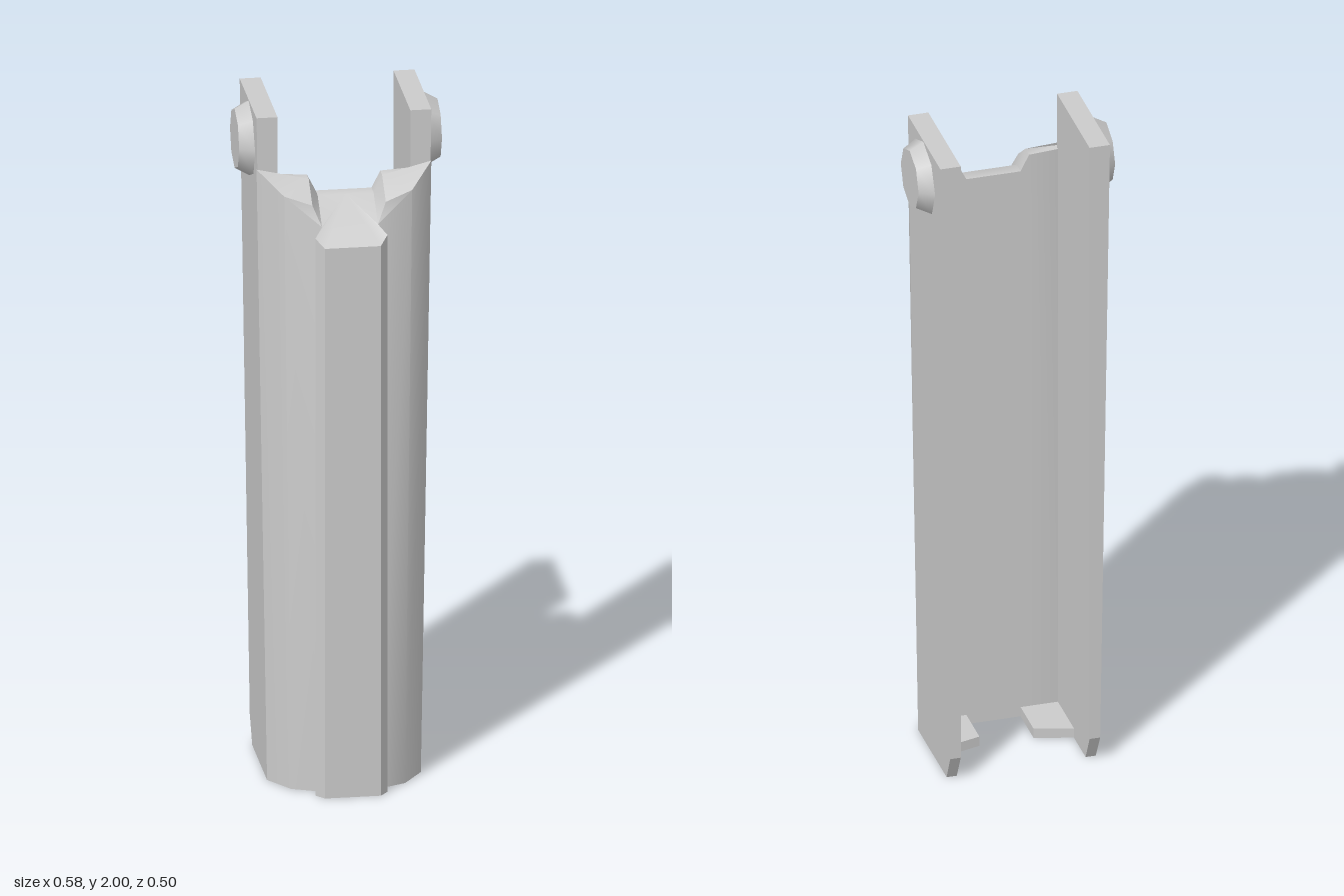
import * as THREE from 'three';
import { toCreasedNormals } from 'three/addons/utils/BufferGeometryUtils.js';

const material = new THREE.MeshStandardMaterial({ color: 0xcccccc });

function addMesh(group, name, geometry) {
  const mesh = new THREE.Mesh(geometry, material);
  mesh.name = name;
  group.add(mesh);
  return mesh;
}

// Front wall with its raised rail: one half is described, the other mirrored
function frontWallGeometry() {
  // x, top y, z of the half outline and of the points inside the top
  const M = [0, 1.66, 0.248], L = [0.08, 1.66, 0.248], K = [0.103, 1.682, 0.22];
  const D = [0.08, 1.705, 0.192], B = [0.183, 1.79, 0.157], A = [0.25, 1.845, 0.075];
  const H = [0.19, 1.825, 0.067], I = [0.105, 1.82, 0.067], J = [0.08, 1.77, 0.067];
  const N = [0, 1.77, 0.067], O = [0, 1.77, 0.107], E = [0.08, 1.77, 0.107];
  const C = [0.105, 1.765, 0.175], F = [0.105, 1.82, 0.103], G = [0.19, 1.825, 0.09];
  const outline = [M, L, K, D, B, A, H, I, J, N];
  const positions = [];

  const face = (...points) => {
    for (let i = 1; i < points.length - 1; i++) {
      const [a, b, c] = [points[0], points[i], points[i + 1]];
      positions.push(...a, ...b, ...c);
      for (const [x, y, z] of [a, c, b]) positions.push(-x, y, z);
    }
  };
  // The outer shell narrows towards the foot
  const foot = p => [p === A ? 0.22 : p === B ? 0.163 : p[0], 0, p[2]];

  for (let i = 0; i < outline.length - 1; i++) {
    const p = outline[i], q = outline[i + 1];
    face(foot(p), foot(q), q, p);
    face(foot(O), foot(q), foot(p));
  }
  // Sloped rail end, notch sides and shoulders
  face(O, M, L, K, D, E);
  face(O, E, J, N);
  face(E, D, C, F);
  face(J, E, F, I);
  face(D, B, C);
  face(F, C, B, A, G);
  face(I, F, G, H);
  face(G, A, H);

  const geometry = new THREE.BufferGeometry();
  geometry.setAttribute('position', new THREE.Float32BufferAttribute(positions, 3));
  return toCreasedNormals(geometry, 0.75);
}

// Tapered side plate with a chamfered lower rear corner
function sidePlateGeometry(side) {
  const profile = [[-0.25, 2], [0.075, 2], [0.075, 0], [-0.21, 0], [-0.25, 0.08]];
  const shape = new THREE.Shape(profile.map(([z, y]) => new THREE.Vector2(-z, y)));
  const geometry = new THREE.ExtrudeGeometry(shape, { depth: 0.06, bevelEnabled: false });
  geometry.rotateY(Math.PI / 2).translate(side > 0 ? 0.19 : -0.25, 0, 0);
  const p = geometry.attributes.position;
  for (let i = 0; i < p.count; i++) {
    if (Math.abs(p.getX(i)) > 0.2) p.setX(i, side * (0.22 + 0.015 * p.getY(i)));
  }
  geometry.computeVertexNormals();
  return geometry;
}

// Thin lip reaching inwards at the foot of the channel
function footLipGeometry(side) {
  const outline = [[0.08, 0.07], [0.195, 0.07], [0.195, -0.095], [0.08, -0.063]];
  const shape = new THREE.Shape(outline.map(([x, z]) => new THREE.Vector2(side * x, z)));
  const geometry = new THREE.ExtrudeGeometry(shape, { depth: 0.03, bevelEnabled: false });
  return geometry.rotateX(Math.PI / 2).translate(0, 0.03, 0);
}

export function createModel() {
  const model = new THREE.Group();
  model.name = 'channelCover';
  addMesh(model, 'frontWall', frontWallGeometry());

  for (const side of [1, -1]) {
    const prefix = side > 0 ? 'left' : 'right';
    addMesh(model, prefix + 'SidePlate', sidePlateGeometry(side));
    addMesh(model, prefix + 'FootLip', footLipGeometry(side));
    // Eight-sided pivot bolt head
    const bolt = addMesh(model, prefix + 'Bolt', new THREE.CylinderGeometry(0.089, 0.113, 0.042, 8));
    bolt.rotation.z = -side * Math.PI / 2;
    bolt.position.set(side * 0.269, 1.885, -0.078);
  }
  return model;
}
